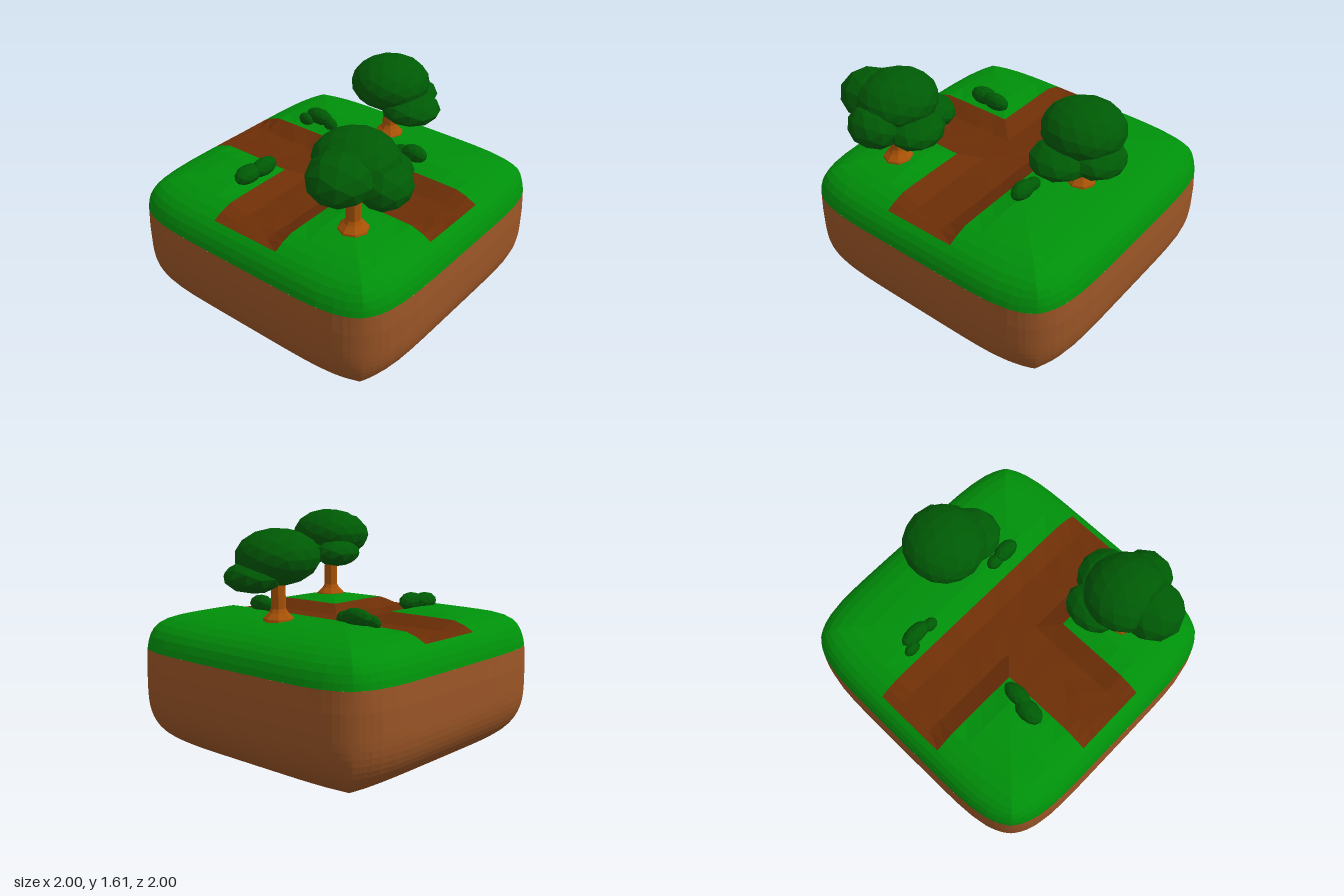
import * as THREE from 'three';

const mat = color => new THREE.MeshStandardMaterial({ color, flatShading: true });
const GRASS = mat(0x00900a), EARTH = mat(0x9a5526), PATH = mat(0x6c2e06);
const TRUNK = mat(0xa85206), LEAF = mat(0x005a05);

// Grid lines of the block's top; EDGE is where grass meets earth (y = 0.75)
const EDGE = 0.99, TOP_POWER = 4.5, BOTTOM_POWER = 2.7;
const half = [0.125, 0.25, 0.375, 0.5, 0.625, 0.75, 0.83, 0.89, 0.93, 0.96, 0.98, EDGE];
const LINES = [...half.map(v => -v).reverse(), 0, ...half];

// Rounds the corners of the square, more so towards its rim
function roundSquare(a, b) {
  const r = Math.max(Math.abs(a), Math.abs(b));
  if (r === 0) return [0, 0];
  const norm = Math.pow(Math.abs(a) ** 5.8 + Math.abs(b) ** 5.8, 1 / 5.8);
  const k = 1 + r ** 4 * (r / norm - 1);
  return [a * k, b * k];
}

// Height of the ground: domed top with a sunken T-shaped track
function groundHeight(a, b) {
  const r = Math.max(Math.abs(a), Math.abs(b));
  const dome = 0.5 + 0.5 * Math.pow(1 - r ** TOP_POWER, 1 / TOP_POWER);
  let d = Math.abs(b) - 0.25;
  if (b > 0) d = Math.min(d, Math.abs(a) - 0.25);
  let level = 1;
  if (d < -0.12) level = 0.913 + 0.004 * Math.sin(37 * a + 23 * b + 60 * a * b);
  else if (d < 0.12) level = 0.968 + d * 0.26;
  return Math.min(dome, level);
}

function isPath(a, b) {
  return (Math.abs(a) < 0.89 && Math.abs(b) < 0.25) || (Math.abs(a) < 0.25 && b > 0 && b < 0.89);
}

function toGeometry(positions, indices) {
  const g = new THREE.BufferGeometry();
  g.setAttribute('position', new THREE.Float32BufferAttribute(positions, 3));
  g.setIndex(indices);
  g.computeVertexNormals();
  return g;
}

// Top surface, keeping only the cells that pass the test
function groundSheet(keep) {
  const pos = [], idx = [], n = LINES.length;
  for (const b of LINES) for (const a of LINES) {
    const [x, z] = roundSquare(a, b);
    pos.push(x, groundHeight(a, b), z);
  }
  for (let j = 0; j < n - 1; j++) for (let i = 0; i < n - 1; i++) {
    const a = (LINES[i] + LINES[i + 1]) / 2, b = (LINES[j] + LINES[j + 1]) / 2;
    if (!keep(a, b)) continue;
    const p = j * n + i;
    // the diagonal of each cell runs along the corner ridge
    if (a * b > 0) idx.push(p, p + n, p + n + 1, p, p + n + 1, p + 1);
    else idx.push(p, p + n, p + 1, p + 1, p + n, p + n + 1);
  }
  return toGeometry(pos, idx);
}

// Earth body: rounded-square rings stacked downwards and closed underneath
function earthBody() {
  let side = LINES.slice(0, -1).map(l => [l / EDGE, 1]);
  const outline = [];
  for (let k = 0; k < 4; k++) {
    outline.push(...side);
    side = side.map(([x, z]) => [z, -x]);
  }
  const levels = [0.5, 0.25];
  for (let k = 0; k <= 18; k++) levels.push(-Math.sin(k / 18 * Math.PI / 2));
  const pos = [], idx = [], n = outline.length;
  levels.forEach(t => {
    const e = t > 0 ? TOP_POWER : BOTTOM_POWER;
    const r = Math.pow(1 - Math.abs(t) ** e, 1 / e);
    outline.forEach(([a, b]) => {
      const [x, z] = roundSquare(a * r, b * r);
      pos.push(x, 0.5 + 0.5 * t, z);
    });
  });
  for (let i = 0; i < levels.length - 1; i++) for (let j = 0; j < n; j++) {
    const a = i * n + j, b = i * n + (j + 1) % n;
    idx.push(a, a + n, b + n, a, b + n, b);
  }
  return toGeometry(pos, idx);
}

function add(parent, name, geometry, material) {
  const m = new THREE.Mesh(geometry, material);
  m.name = name;
  parent.add(m);
  return m;
}

// Faceted leaf clumps, each [x, y, z, rx, ry, rz]
function addClumps(parent, name, clumps) {
  clumps.forEach(([x, y, z, rx, ry, rz], i) => {
    const m = add(parent, name + (i + 1), new THREE.IcosahedronGeometry(1, rx > 0.22 ? 2 : 1), LEAF);
    m.position.set(x, y, z);
    m.scale.set(rx, ry, rz);
  });
}

// Tree: flared eight-sided trunk with a crown of clumps
function addTree(parent, name, x, z, clumps) {
  const tree = new THREE.Group();
  tree.name = name;
  const profile = [[0.1, 0.97], [0.095, 1.0], [0.06, 1.035], [0.046, 1.06], [0.044, 1.32]];
  const trunk = add(tree, 'trunk', new THREE.LatheGeometry(profile.map(p => new THREE.Vector2(...p)), 8), TRUNK);
  trunk.position.set(x, 0, z);
  addClumps(tree, 'crownClump', clumps);
  parent.add(tree);
}

function addBush(parent, name, clumps) {
  const bush = new THREE.Group();
  bush.name = name;
  addClumps(bush, 'bushClump', clumps);
  parent.add(bush);
}

export function createModel() {
  const model = new THREE.Group();
  model.name = 'groundTile';

  add(model, 'earth', earthBody(), EARTH);
  add(model, 'grass', groundSheet((a, b) => !isPath(a, b)), GRASS);
  add(model, 'dirtPath', groundSheet(isPath), PATH);

  addTree(model, 'frontTree', 0.52, 0.51, [
    [0.51, 1.44, 0.48, 0.26, 0.17, 0.25],
    [0.545, 1.415, 0.65, 0.2, 0.16, 0.22],
    [0.715, 1.345, 0.48, 0.16, 0.14, 0.175],
    [0.34, 1.31, 0.38, 0.145, 0.095, 0.18],
    [0.56, 1.31, 0.28, 0.185, 0.1, 0.16],
  ]);
  addTree(model, 'backTree', 0, -0.55, [
    [0, 1.375, -0.55, 0.26, 0.175, 0.265],
    [0.19, 1.25, -0.52, 0.2, 0.1, 0.195],
    [0.06, 1.26, -0.7, 0.19, 0.1, 0.175],
  ]);

  addBush(model, 'backRightBush', [
    [-0.47, 1.03, -0.365, 0.11, 0.06, 0.055],
    [-0.55, 1.0, -0.315, 0.06, 0.05, 0.035],
    [-0.36, 1.01, -0.35, 0.055, 0.05, 0.04],
  ]);
  addBush(model, 'frontRightBush', [
    [-0.31, 1.03, 0.38, 0.058, 0.06, 0.105],
    [-0.335, 1.02, 0.5, 0.068, 0.06, 0.105],
  ]);
  addBush(model, 'backLeftBush', [
    [0.345, 1.03, -0.36, 0.095, 0.06, 0.058],
    [0.25, 1.01, -0.36, 0.065, 0.05, 0.045],
  ]);
  return model;
}
